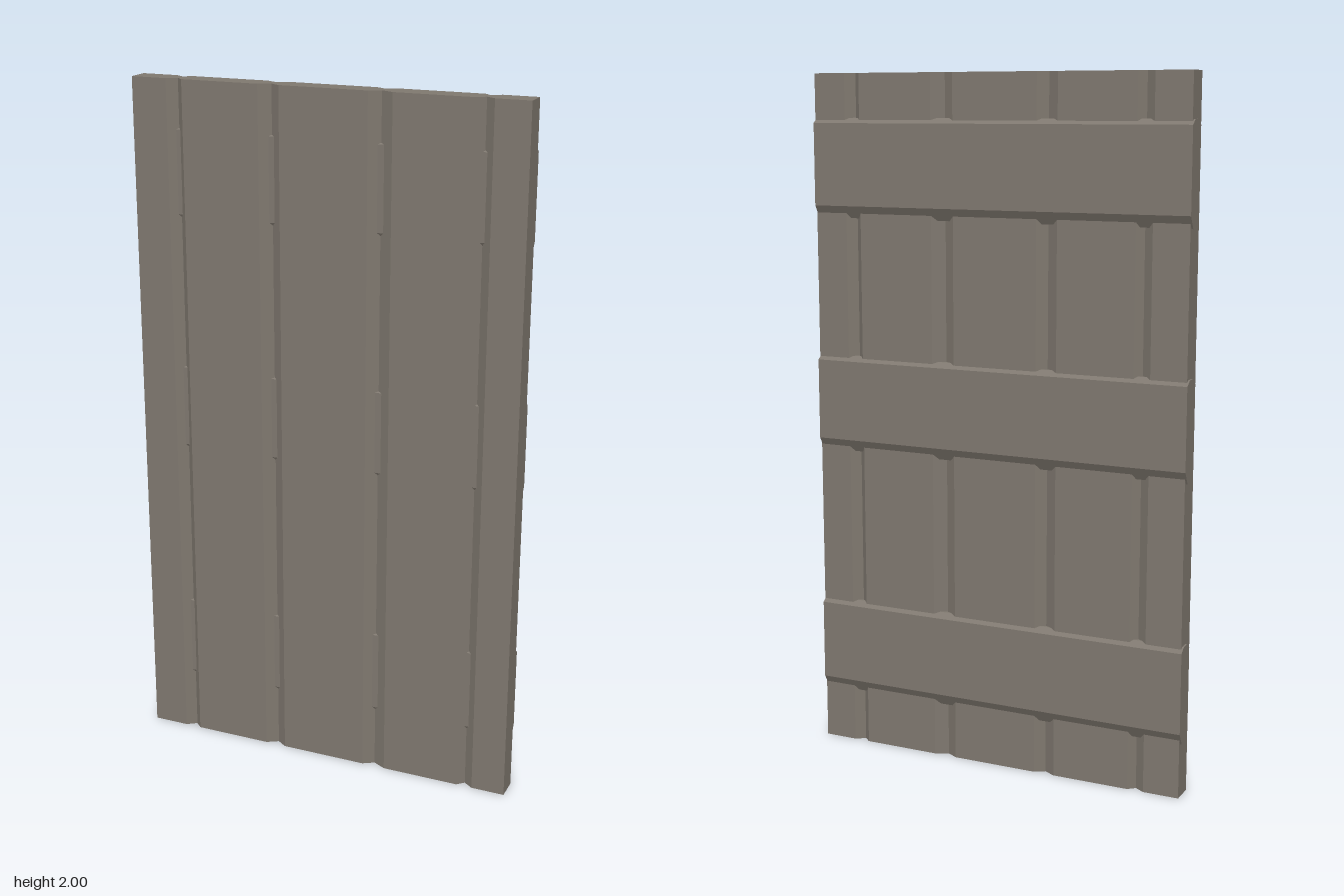
import * as THREE from 'three';

export function createModel() {
  const group = new THREE.Group();
  const wood = new THREE.MeshStandardMaterial({ color: 0x7f786f });
  wood.name = 'weatheredWood';

  const prism = (points, depth) => new THREE.ExtrudeGeometry(
    new THREE.Shape(points.map(([a, b]) => new THREE.Vector2(a, b))),
    { depth, bevelEnabled: false });

  const add = (geometry, name) => {
    const mesh = new THREE.Mesh(geometry, wood);
    mesh.name = name;
    group.add(mesh);
  };

  // Upright planks: bevelled edges meet in V grooves [left rim, bottom, right rim]
  const front = 0.039, back = -0.028, frontTip = 0.02, backTip = -0.01;
  const grooves = [
    [-0.57, -0.57, -0.57],
    [-0.465, -0.437, -0.417],
    [-0.188, -0.155, -0.126],
    [0.13, 0.162, 0.199],
    [0.428, 0.448, 0.475],
    [0.573, 0.573, 0.573],
  ];
  for (let i = 0; i < grooves.length - 1; i++) {
    const [, tipA, rimA] = grooves[i];
    const [rimB, tipB] = grooves[i + 1];
    // Plan section drawn as (x, -z), raised along y
    const section = [[rimA, -front], [rimB, -front]];
    if (tipB !== rimB) section.push([tipB, -frontTip], [tipB, -backTip]);
    section.push([rimB, -back], [rimA, -back]);
    if (tipA !== rimA) section.push([tipA, -backTip], [tipA, -frontTip]);
    add(prism(section, 2).rotateX(-Math.PI / 2), `plank${i + 1}`);
  }

  // Bevelled cross boards, let into the planks from behind
  [0.158, 0.903, 1.59].forEach((y, i) => {
    // Side section drawn as (-z, y), run along x
    const section = [
      [0.04, 0.035], [0.04, 0.27], [0.02, 0.285], [-0.006, 0.285],
      [-0.025, 0.27], [-0.025, 0.033], [-0.006, 0], [0.02, 0],
    ];
    const geometry = prism(section, 1.147).rotateY(Math.PI / 2);
    geometry.translate(-0.575, y, 0);
    add(geometry, `crossBoard${i + 1}`);
  });

  return group;
}
